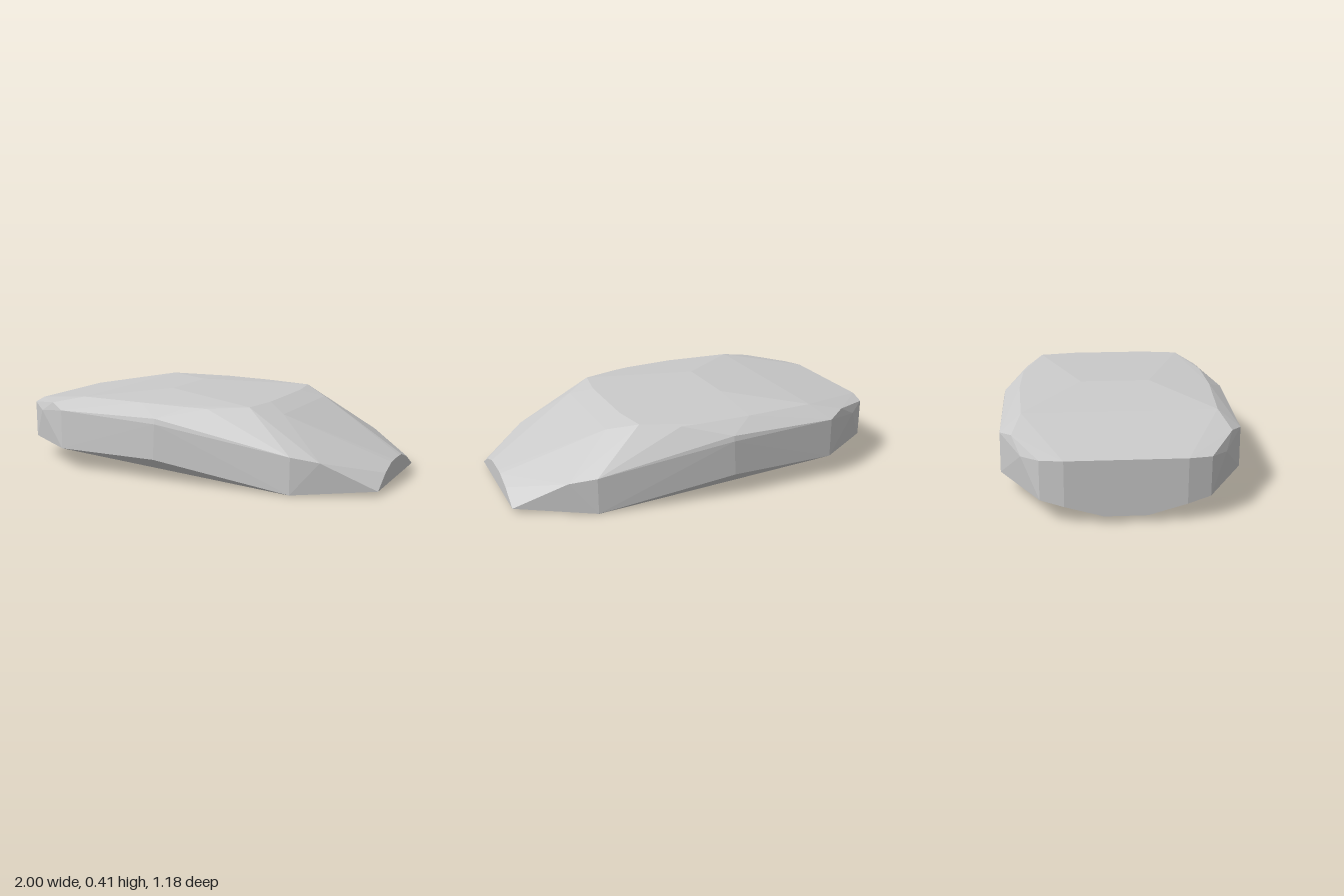
import * as THREE from 'three';
import { ConvexGeometry } from 'three/addons/geometries/ConvexGeometry.js';

// Corners of one half of the stone, as [x, y, z]; mirrored across z.
const crown = [
  [-0.2, 0.41, 0.18], [-0.57, 0.38, 0.48], [-0.2, 0.383, 0.5],
  [0.07, 0.38, 0.49], [0.17, 0.377, 0.475], [0.36, 0.388, 0.39],
  [0.39, 0.388, 0.2], [0.5, 0.348, 0.29],
];
const flank = [
  [-0.65, 0.315, 0.58], [-0.07, 0.325, 0.583], [-0.07, 0.298, 0.59],
  [-0.65, 0.11, 0.583], [-0.08, 0.115, 0.59],
  [0.62, 0.185, 0.49], [0.75, 0.16, 0.435],
];
const bluntEnd = [
  [-1, 0.312, 0.28], [-0.97, 0.305, 0.39], [-0.86, 0.28, 0.475],
  [-0.75, 0.34, 0.52], [-0.97, 0.11, 0.39], [-1, 0.088, 0.28], [-1, 0.035, 0.1],
];
const taperedEnd = [
  [1, 0.02, 0.305], [1, 0.085, 0.19], [1, 0.117, 0.09], [1, 0.12, 0.05],
];
const underside = [[0.62, 0, 0.495], [0.38, 0, 0.3], [0, 0.005, 0.2]];

export function createModel() {
  const group = new THREE.Group();
  group.name = 'stone';

  const stoneGrey = new THREE.MeshStandardMaterial({ color: 0xcacaca });
  stoneGrey.name = 'stone grey';
  stoneGrey.flatShading = true;

  // Faceted boulder: flat planes stretched over the mirrored corners
  const corners = [];
  for (const [x, y, z] of [...crown, ...flank, ...bluntEnd, ...taperedEnd, ...underside]) {
    for (const side of [1, -1]) corners.push(new THREE.Vector3(x, y, side * z));
  }
  const boulder = new THREE.Mesh(new ConvexGeometry(corners), stoneGrey);
  boulder.name = 'boulder';
  group.add(boulder);
  return group;
}
